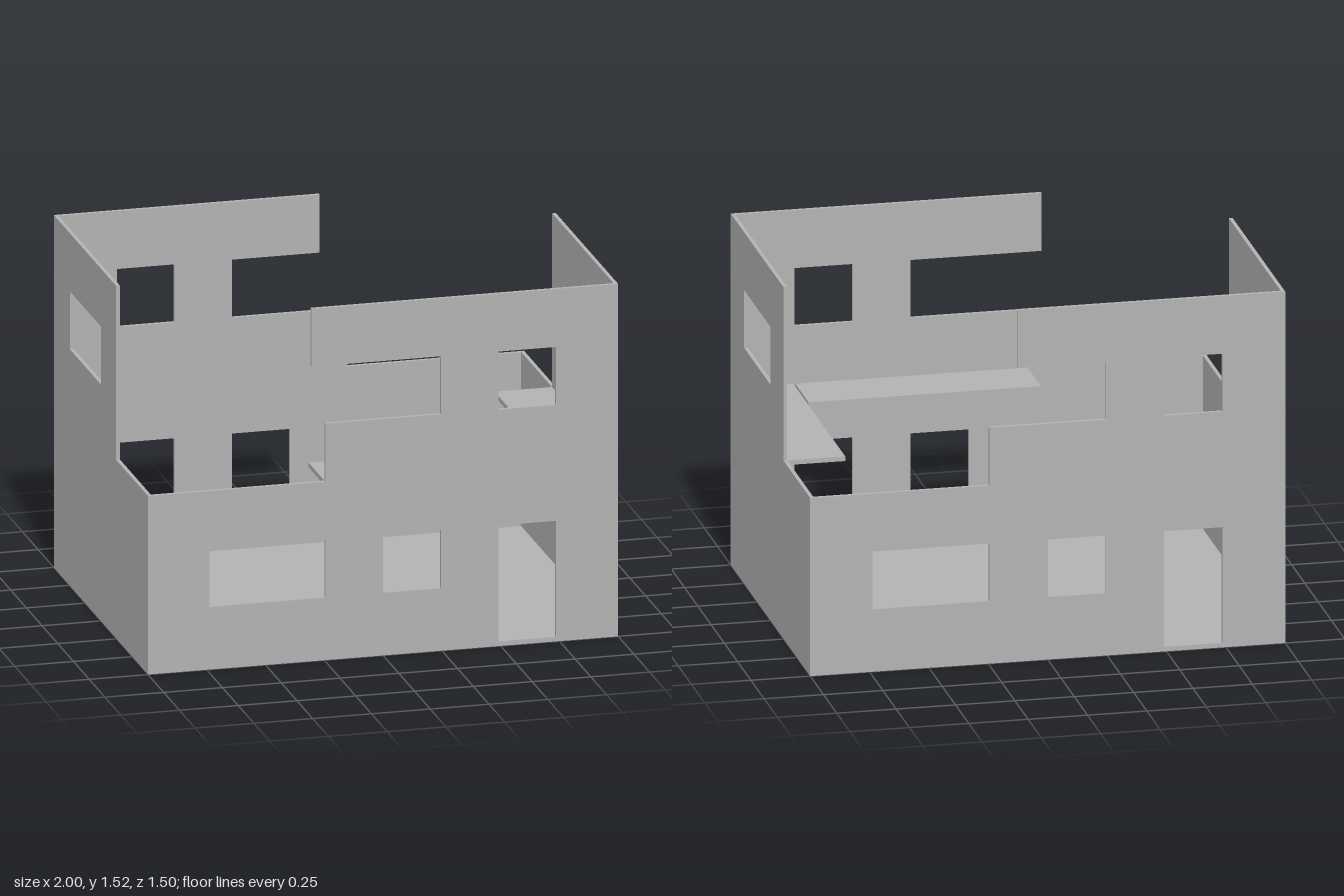
import * as THREE from 'three';

const T = 0.016; // wall thickness
const HX = 1, HZ = 0.75; // half width and half depth
const LOW = 0.77, TOP = 1.52; // storey heights
const SILL = 1.02, HEAD = 1.27; // upper window band

const rect = (x0, y0, x1, y1) => [[x0, y0], [x1, y0], [x1, y1], [x0, y1]];
const toVectors = (pts) => pts.map(([x, y]) => new THREE.Vector2(x, y));

export function createModel() {
  const model = new THREE.Group();
  const grey = new THREE.MeshStandardMaterial({ color: 0xb2b2b2 });
  grey.name = 'plain grey';

  // Flat wall with openings, turned about y and pushed out to its side
  function wall(name, outline, openings, angle, distance) {
    const shape = new THREE.Shape(toVectors(outline));
    openings.forEach((o) => shape.holes.push(new THREE.Path(toVectors(rect(...o)))));
    const geometry = new THREE.ExtrudeGeometry(shape, { depth: T, bevelEnabled: false });
    geometry.translate(0, 0, distance - T);
    geometry.rotateY(angle);
    const mesh = new THREE.Mesh(geometry, grey);
    mesh.name = name;
    model.add(mesh);
  }

  // Horizontal slab given by its x, y and z ranges
  function slab(name, [x0, x1], [y0, y1], [z0, z1]) {
    const mesh = new THREE.Mesh(new THREE.BoxGeometry(x1 - x0, y1 - y0, z1 - z0), grey);
    mesh.name = name;
    mesh.position.set((x0 + x1) / 2, (y0 + y1) / 2, (z0 + z1) / 2);
    model.add(mesh);
  }

  // Long walls: low on one end, with an open-ended slot under the lintel
  const longOutline = (lintel) => [
    [-HX, 0], [HX, 0], [HX, TOP], [lintel, TOP], [lintel, HEAD], [0.246, HEAD],
    [0.246, SILL], [-0.246, SILL], [-0.246, LOW], [-HX, LOW],
  ];
  const longOpenings = [
    [-0.738, 0.27, -0.246, 0.52], // wide window
    [0, 0.27, 0.246, 0.52], // small window
    [0.49, 0.02, 0.735, 0.52], // door
    [0.49, SILL, 0.735, HEAD], // upper window
  ];
  wall('frontWall', longOutline(-0.305), longOpenings, 0, HZ);
  wall('backWall', longOutline(-0.127), longOpenings, Math.PI, HZ);

  // Side walls: stepped, with one upper window
  const s = HZ - T;
  const sideOutline = [[-s, 0], [s, 0], [s, LOW], [0.243, LOW], [0.243, TOP], [-s, TOP]];
  const sideOpenings = [[-0.495, SILL, 0, HEAD]];
  wall('leftWall', sideOutline, sideOpenings, Math.PI / 2, HX);
  wall('rightWall', sideOutline, sideOpenings, -Math.PI / 2, HX);

  // Ground floor and the two pieces of the upper gallery
  const inX = HX - T;
  slab('groundFloor', [-inX, inX], [0, 0.02], [-s, s]);
  slab('sideGallery', [0.74, inX], [0.75, LOW], [-0.246, s]);
  slab('frontGallery', [-0.246, 0.732], [0.75, LOW], [0.482, s]);

  return model;
}
